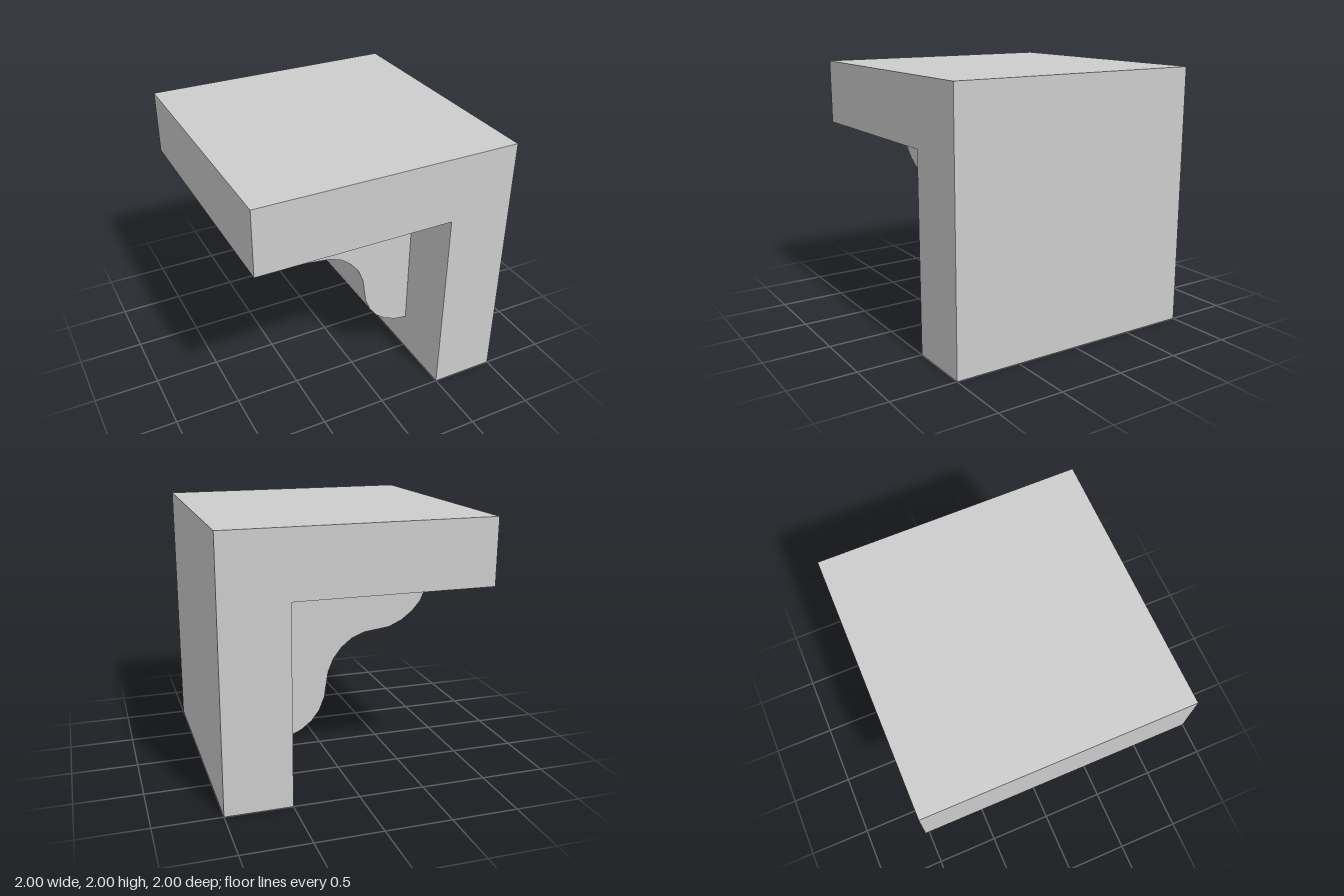
import * as THREE from 'three';
import { toCreasedNormals } from 'three/addons/utils/BufferGeometryUtils.js';

const lightGrey = new THREE.MeshStandardMaterial({ color: 0xcccccc });
lightGrey.name = 'light grey';

// Extrudes an x-y outline along z, centred on z = 0
function slab(name, outline, depth) {
  const shape = new THREE.Shape(outline.map(([x, y]) => new THREE.Vector2(x, y)));
  const geometry = new THREE.ExtrudeGeometry(shape, { depth, bevelEnabled: false });
  geometry.translate(0, 0, -depth / 2);
  const mesh = new THREE.Mesh(toCreasedNormals(geometry, Math.PI / 6), lightGrey);
  mesh.name = name;
  return mesh;
}

export function createModel() {
  const group = new THREE.Group();
  group.name = 'corniceBlock';

  // Top slab and upright wall as one L-shaped block
  group.add(slab('topAndWall', [
    [-1, 1.5], [0.5, 1.5], [0.5, 0], [1, 0], [1, 2], [-1, 2],
  ], 2));

  // Scrolled bracket in the inner corner, half as deep as the block
  group.add(slab('bracket', [
    [0.5, 1.5], [-0.7, 1.5], [-0.69, 1.4], [-0.65, 1.3], [-0.585, 1.225],
    [-0.5, 1.16], [-0.4, 1.115], [-0.2, 1.09], [-0.1, 1.05], [-0.02, 0.985],
    [0.045, 0.9], [0.085, 0.8], [0.115, 0.6], [0.155, 0.5], [0.215, 0.42],
    [0.3, 0.355], [0.4, 0.315], [0.5, 0.3],
  ], 1));

  return group;
}
